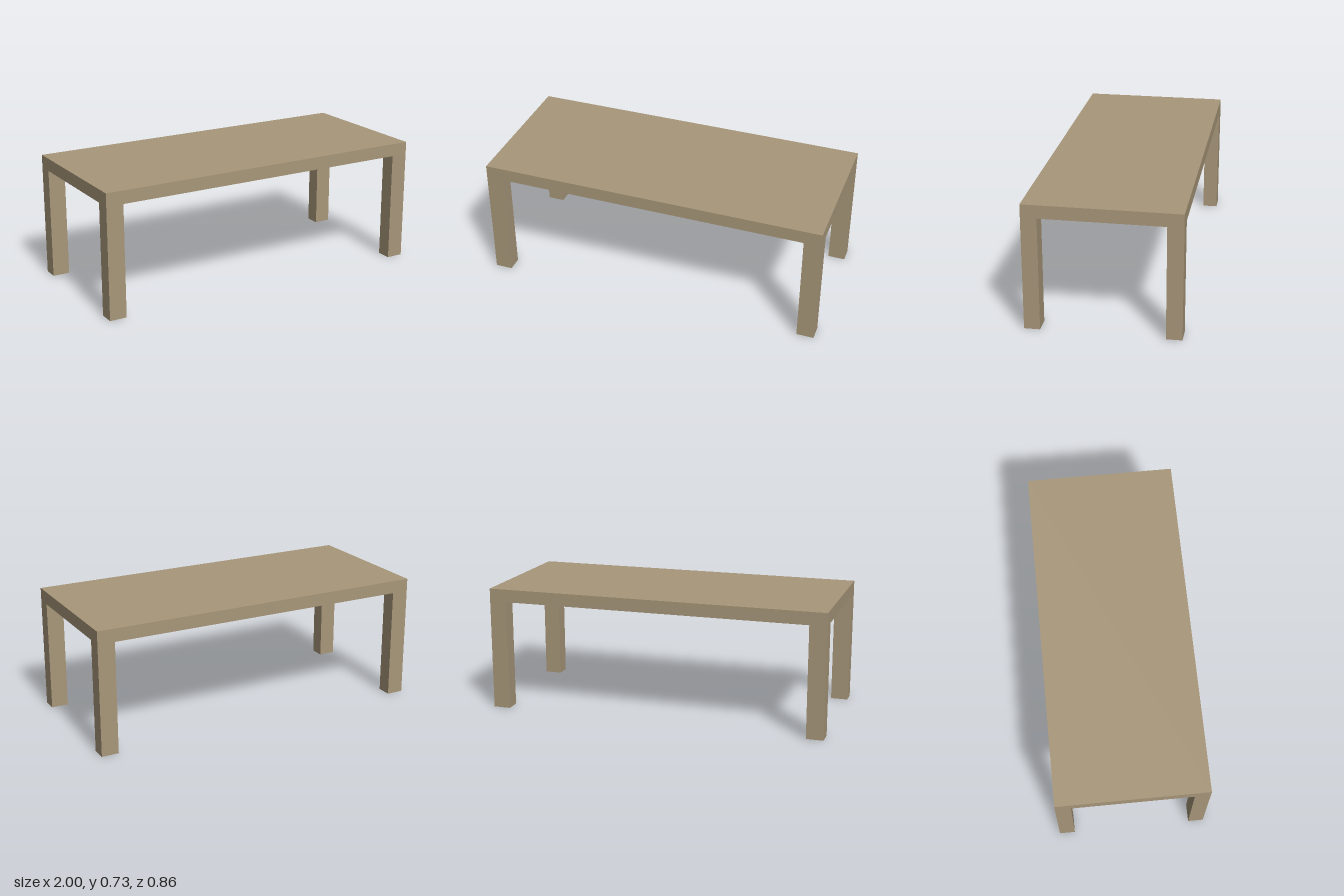
import * as THREE from 'three';

const HEIGHT = 0.725, HALF_X = 1, HALF_Z = 0.432;
const UNDERSIDE = 0.65, LEG_X = 0.1, LEG_Z = 0.089;

export function createModel() {
  const table = new THREE.Group();
  table.name = 'table';
  const wood = new THREE.MeshStandardMaterial({ color: 0xa8977a });

  const addBox = (name, w, h, d, x, y, z) => {
    const mesh = new THREE.Mesh(new THREE.BoxGeometry(w, h, d), wood);
    mesh.name = name;
    mesh.position.set(x, y, z);
    table.add(mesh);
  };

  // Flat slab top
  const thickness = HEIGHT - UNDERSIDE;
  addBox('tableTop', 2 * HALF_X, thickness, 2 * HALF_Z, 0, UNDERSIDE + thickness / 2, 0);

  // Four legs, flush with the corners of the top
  for (const [side, sx] of [['Left', 1], ['Right', -1]]) {
    for (const [end, sz] of [['front', 1], ['back', -1]]) {
      addBox(`${end}${side}Leg`, LEG_X, UNDERSIDE, LEG_Z,
        sx * (HALF_X - LEG_X / 2), UNDERSIDE / 2, sz * (HALF_Z - LEG_Z / 2));
    }
  }
  return table;
}
